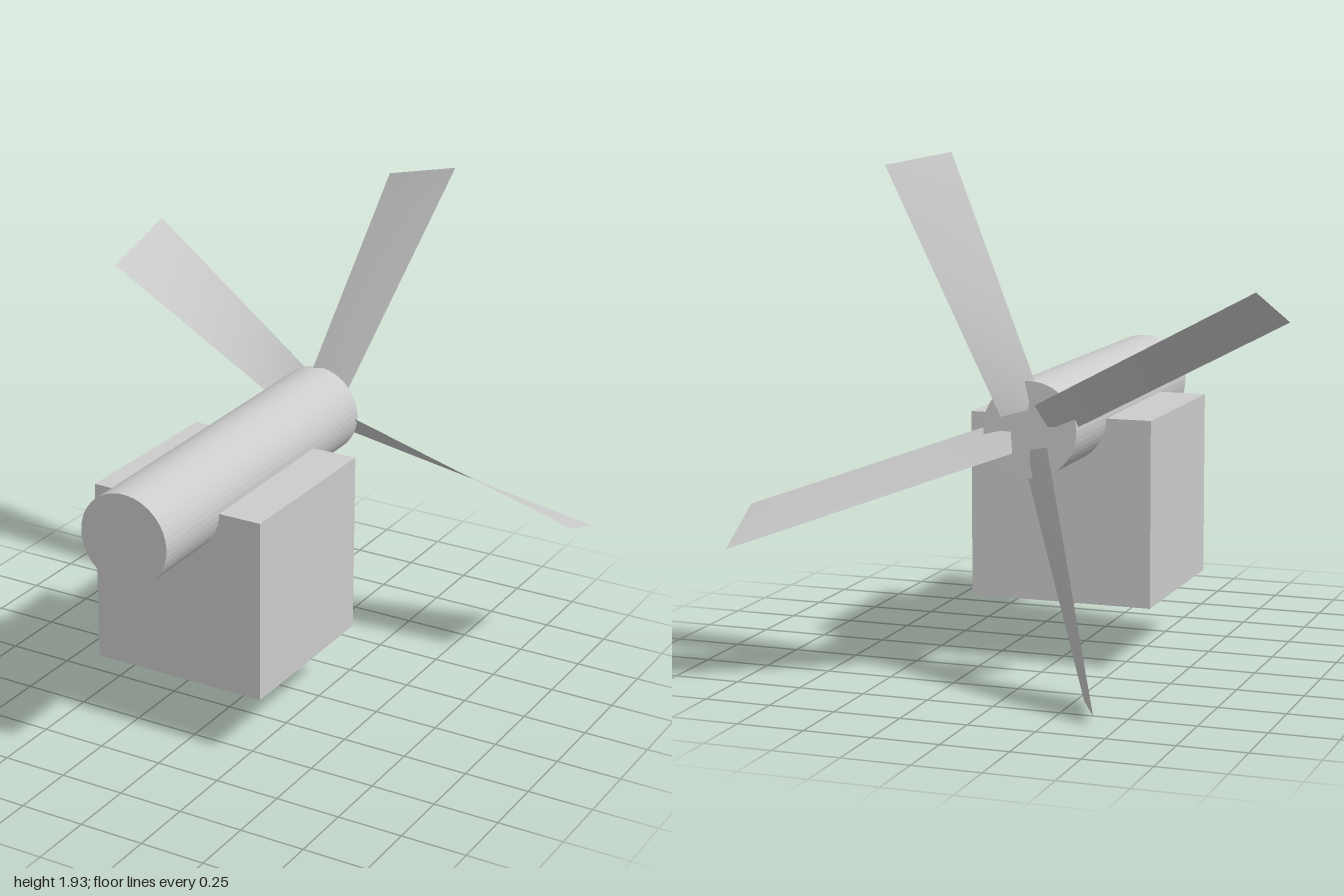
import * as THREE from 'three';

const grey = new THREE.MeshStandardMaterial({ color: 0xcccccc, side: THREE.DoubleSide });
grey.name = 'plain grey';
const greyFaceted = new THREE.MeshStandardMaterial({ color: 0xcccccc, flatShading: true });
greyFaceted.name = 'faceted grey';

const V = (x, y, z) => new THREE.Vector3(x, y, z);

// Twisted blade: a flat strip ruled between a root edge and a tip edge
function makeBlade(hub, tipLead, tipTrail) {
  const mid = tipLead.clone().add(tipTrail).multiplyScalar(0.5);
  const out = mid.clone().sub(hub).setZ(0).normalize();
  const half = tipTrail.clone().sub(tipLead).setZ(0).multiplyScalar(0.5);
  const root = hub.clone().addScaledVector(out, 0.07);
  const rootLead = root.clone().sub(half).setZ(-0.475);
  const rootTrail = root.clone().add(half).setZ(-0.565);

  const geo = new THREE.PlaneGeometry(1, 1, 1, 8);
  const pos = geo.attributes.position;
  for (let i = 0; i < pos.count; i++) {
    const u = pos.getX(i) + 0.5, v = pos.getY(i) + 0.5;
    const lead = rootLead.clone().lerp(tipLead, v);
    const p = lead.lerp(rootTrail.clone().lerp(tipTrail, v), u);
    pos.setXYZ(i, p.x, p.y, p.z);
  }
  geo.computeVertexNormals();
  return new THREE.Mesh(geo, grey);
}

export function createModel() {
  const model = new THREE.Group();
  model.name = 'propellerOnBlock';

  // Square base block
  const base = new THREE.Mesh(new THREE.BoxGeometry(0.7, 0.7, 0.7), greyFaceted);
  base.name = 'baseBlock';
  base.position.set(-0.04, 0.602, 0.195);
  model.add(base);

  // Long shaft, very slightly askew, half sunk into the block
  const front = V(-0.028, 0.951, 0.904), rear = V(-0.05, 0.956, -0.508);
  const axis = front.clone().sub(rear);
  const shaft = new THREE.Mesh(new THREE.CylinderGeometry(0.175, 0.175, axis.length(), 48), greyFaceted);
  shaft.name = 'shaft';
  shaft.position.copy(front).add(rear).multiplyScalar(0.5);
  shaft.quaternion.setFromUnitVectors(V(0, 1, 0), axis.normalize());
  model.add(shaft);

  // Four blades: leading and trailing tip corners
  const blades = new THREE.Group();
  blades.name = 'propeller';
  const tips = [
    ['upperBlade', V(0.22, 1.937, -0.56), V(0.35, 1.905, -0.848)],
    ['rightBlade', V(-1.0, 1.38, -0.525), V(-0.955, 1.51, -0.807)],
    ['lowerBlade', V(-0.28, 0.003, -0.577), V(-0.41, 0.036, -0.862)],
    ['leftBlade', V(1.0, 0.64, -0.612), V(0.957, 0.531, -0.905)],
  ];
  for (const [name, lead, trail] of tips) {
    const blade = makeBlade(rear, lead, trail);
    blade.name = name;
    blades.add(blade);
  }
  model.add(blades);
  return model;
}
